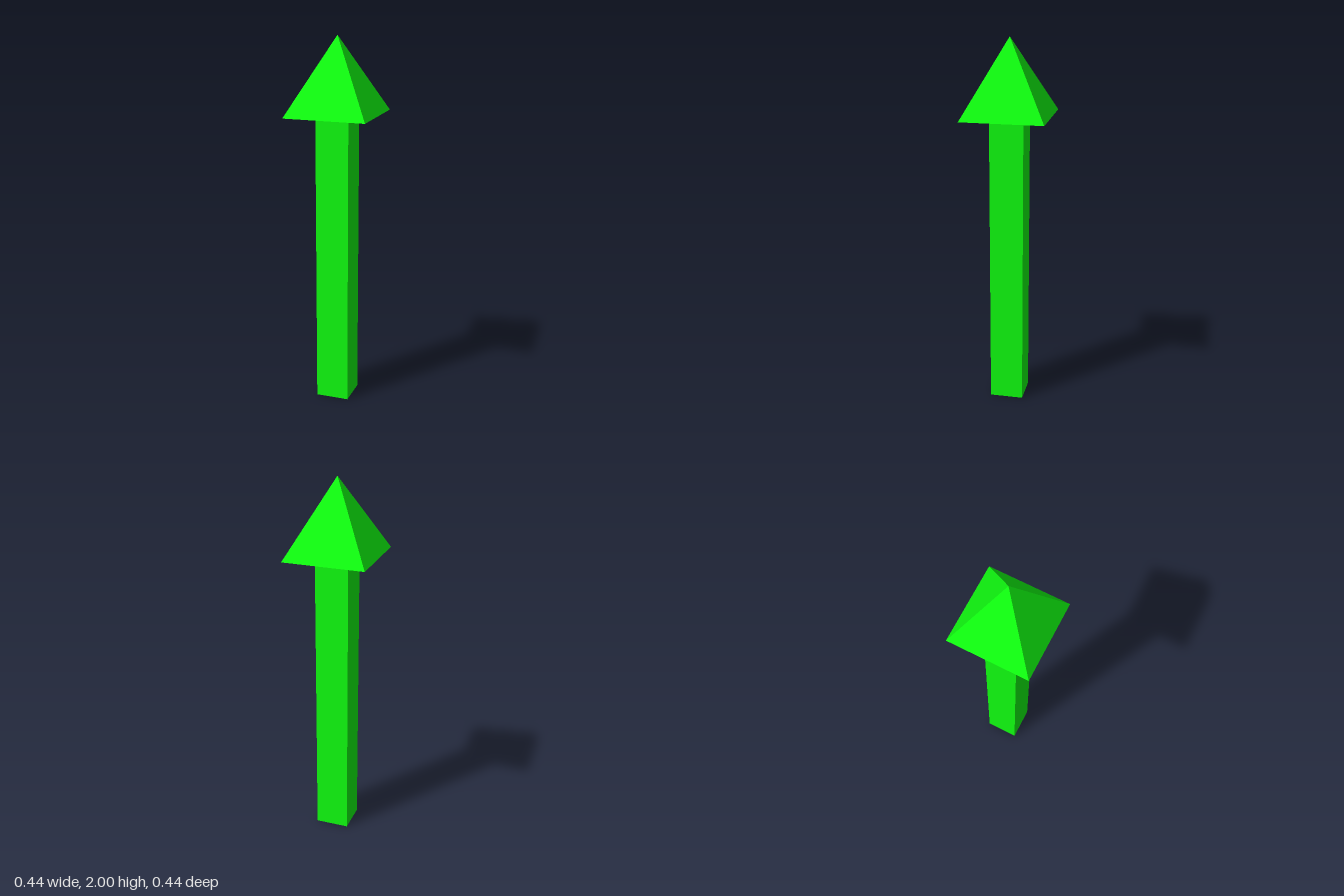
import * as THREE from 'three';

const HEIGHT = 2;
const HEAD_BASE = 1.595;
const HEAD_HALF = 0.22;
const SHAFT_WIDTH = 0.18;

export function createModel() {
  const model = new THREE.Group();
  model.name = 'arrow';
  const green = new THREE.MeshStandardMaterial({ color: 0x10ff10, flatShading: true });

  // Square shaft standing on the ground
  const shaft = new THREE.Mesh(new THREE.BoxGeometry(SHAFT_WIDTH, HEAD_BASE, SHAFT_WIDTH), green);
  shaft.name = 'shaft';
  shaft.position.y = HEAD_BASE / 2;

  // Four-sided pyramid head, turned so its sides face the axes
  const headHeight = HEIGHT - HEAD_BASE;
  const headGeometry = new THREE.ConeGeometry(HEAD_HALF * Math.SQRT2, headHeight, 4);
  headGeometry.rotateY(Math.PI / 4);
  const head = new THREE.Mesh(headGeometry, green);
  head.name = 'arrowHead';
  head.position.y = HEAD_BASE + headHeight / 2;

  model.add(shaft, head);
  return model;
}
